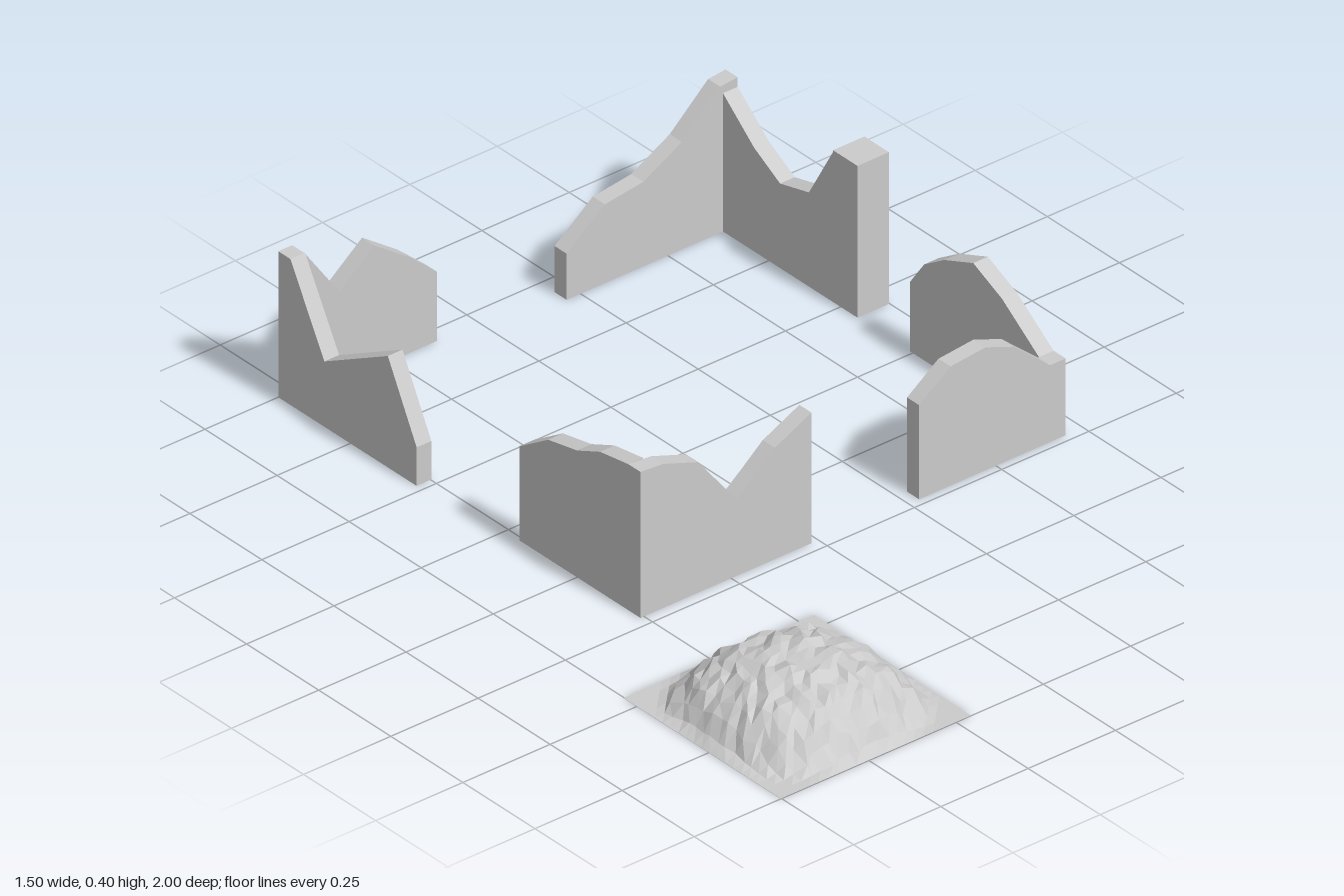
import * as THREE from 'three';

const material = new THREE.MeshStandardMaterial({ color: 0xcccccc, flatShading: true });
const T = 0.042; // wall thickness

// Broken wall: outline points are [distance along the wall, height].
function wall(name, axis, from, top) {
  const shape = new THREE.Shape();
  shape.moveTo(top[0][0], 0);
  top.forEach(([u, y]) => shape.lineTo(u, y));
  shape.lineTo(top[top.length - 1][0], 0);
  shape.closePath();
  const geo = new THREE.ExtrudeGeometry(shape, { depth: T, bevelEnabled: false });
  if (axis === 'x') {
    geo.translate(0, 0, from);
  } else {
    geo.rotateY(-Math.PI / 2); // outline now runs along z
    geo.translate(from + T, 0, 0);
  }
  const mesh = new THREE.Mesh(geo, material);
  mesh.name = name;
  return mesh;
}

function corner(name, ...parts) {
  const group = new THREE.Group();
  group.name = name;
  group.add(...parts);
  return group;
}

// Repeatable value in -1..1 for each grid point
function jitter(i, j) {
  const s = Math.sin(i * 127.1 + j * 311.7) * 43758.5453;
  return (s - Math.floor(s)) * 2 - 1;
}

// Rubble mound: a square sheet raised into a rough dome
function rubbleMound() {
  const n = 20, size = 0.545;
  const profile = [[0, 0.14], [0.25, 0.138], [0.42, 0.122], [0.62, 0.098], [0.78, 0.06], [0.93, 0.008], [1, 0.001], [2, 0.001]];
  const heightAt = (r) => {
    const k = profile.findIndex((p, i) => i > 0 && r <= p[0]);
    const [r0, h0] = profile[k - 1], [r1, h1] = profile[k];
    return THREE.MathUtils.lerp(h0, h1, (r - r0) / (r1 - r0));
  };
  const geo = new THREE.PlaneGeometry(size, size, n, n).rotateX(-Math.PI / 2);
  const p = geo.attributes.position;
  for (let k = 0; k < p.count; k++) {
    const i = k % (n + 1), j = Math.floor(k / (n + 1));
    const u = p.getX(k) / (size / 2), v = p.getZ(k) / (size / 2);
    const r = Math.pow(Math.abs(u) ** 3 + Math.abs(v) ** 3, 1 / 3);
    if (r < 0.93) {
      p.setX(k, p.getX(k) + jitter(i, j) * 0.008);
      p.setZ(k, p.getZ(k) + jitter(j + 40, i) * 0.008);
      p.setY(k, heightAt(r) + jitter(i + 9, j + 5) * 0.009 * Math.min(1, (0.95 - r) * 5));
    } else {
      p.setY(k, heightAt(r));
    }
  }
  const sheet = material.clone();
  sheet.side = THREE.DoubleSide;
  const mesh = new THREE.Mesh(geo, sheet);
  mesh.name = 'rubbleMound';
  mesh.position.set(-0.48, 0, 0.7275);
  return mesh;
}

export function createModel() {
  const model = new THREE.Group();
  model.name = 'ruins';

  // Back corner on the -x side
  model.add(corner('backRightCorner',
    wall('backWall', 'x', -1, [[-0.54, 0.38], [-0.5, 0.38], [-0.4, 0.24], [-0.3, 0.32], [-0.2, 0.25], [-0.12, 0.18]]),
    wall('sideWall', 'z', -0.54, [[-1 + T, 0.38], [-0.84, 0.17], [-0.62, 0.29], [-0.52, 0.1]])));

  // Back corner on the +x side, with a post at the end of its side wall
  const post = new THREE.Mesh(new THREE.BoxGeometry(0.09, 0.395, 0.085), material);
  post.name = 'endPost';
  post.position.set(0.703, 0.1975, -0.484);
  model.add(corner('backLeftCorner',
    wall('backWall', 'x', -0.95, [[0.21, 0.12], [0.32, 0.205], [0.43, 0.22], [0.54, 0.28], [0.65, 0.38], [0.7, 0.385]]),
    wall('sideWall', 'z', 0.7 - T, [[-0.95 + T, 0.36], [-0.8, 0.27], [-0.71, 0.22], [-0.61, 0.245], [-0.5265, 0.39]]),
    post));

  // Front corner on the -x side
  model.add(corner('frontRightCorner',
    wall('frontWall', 'x', 0.22 - T, [[-0.51, 0.38], [-0.445, 0.375], [-0.345, 0.34], [-0.235, 0.2], [-0.185, 0.24], [-0.125, 0.29], [-0.02, 0.34]]),
    wall('sideWall', 'z', -0.51, [[-0.2, 0.245], [-0.1, 0.31], [0, 0.33], [0.08, 0.365], [0.22 - T, 0.38]])));

  // Front corner on the +x side
  model.add(corner('frontLeftCorner',
    wall('frontWall', 'x', 0.23 - T, [[0.28, 0.245], [0.37, 0.31], [0.47, 0.32], [0.55, 0.29], [0.655, 0.2], [0.7, 0.2]]),
    wall('sideWall', 'z', 0.7 - T, [[-0.26, 0.18], [-0.21, 0.25], [-0.14, 0.295], [-0.04, 0.335], [0.06, 0.29], [0.23 - T, 0.2]])));

  model.add(rubbleMound());
  return model;
}
